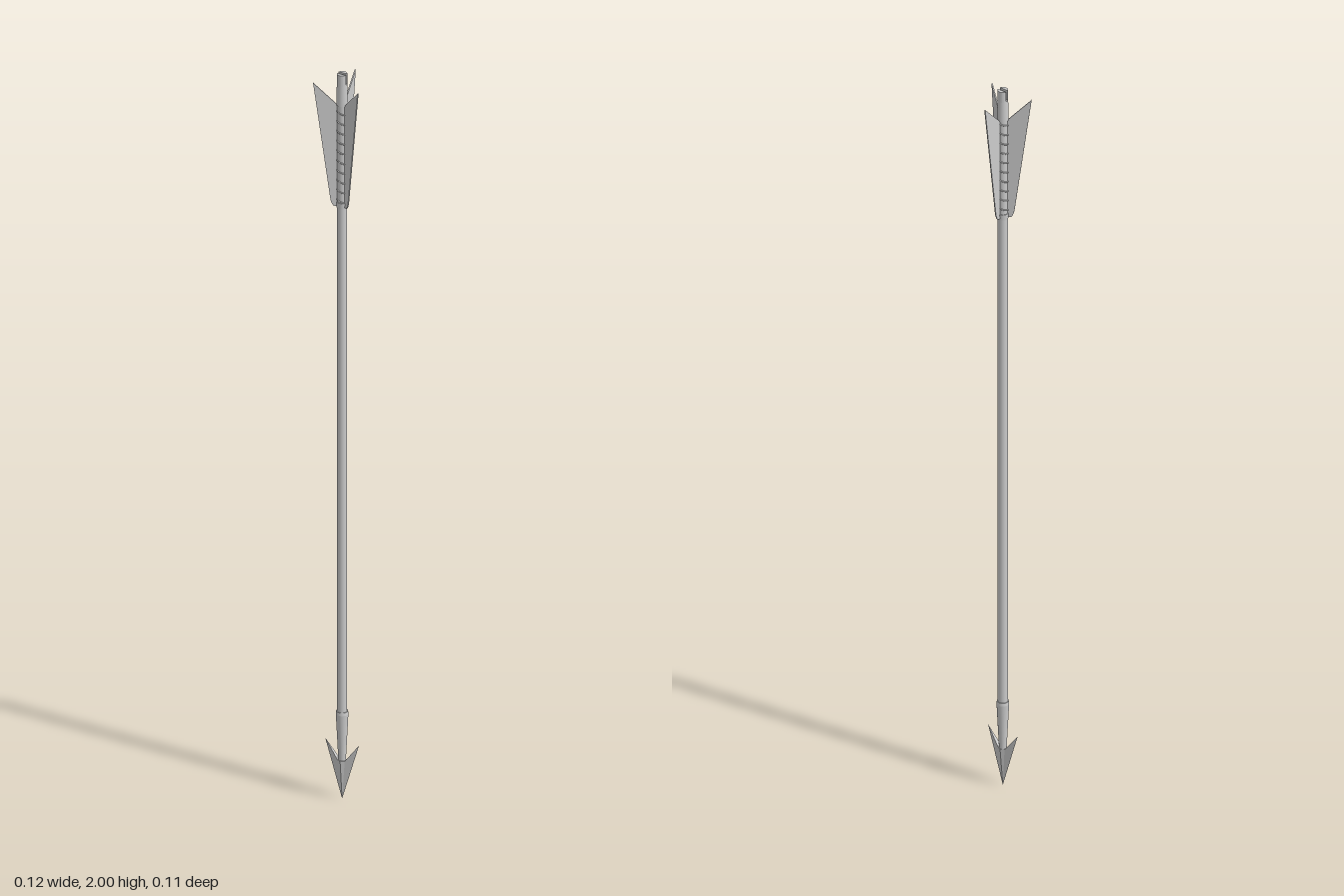
import * as THREE from 'three';

const grey = new THREE.MeshStandardMaterial({ color: 0xcccccc });
const flat = new THREE.MeshStandardMaterial({ color: 0xcccccc, flatShading: true, side: THREE.DoubleSide });

function add(parent, name, geometry, material = grey) {
  const mesh = new THREE.Mesh(geometry, material);
  mesh.name = name;
  parent.add(mesh);
  return mesh;
}

// Cylinder or cone frustum between two heights
function rod(parent, name, y0, y1, r0, r1) {
  const mesh = add(parent, name, new THREE.CylinderGeometry(r1, r0, y1 - y0, 20));
  mesh.position.y = (y0 + y1) / 2;
  return mesh;
}

// One barbed half of the arrowhead, with a diamond cross-section
function bladeHalf() {
  const tip = [0, 0, 0], barb = [0.046, 0.157, 0];
  const notchF = [0.01, 0.108, 0.006], notchB = [0.01, 0.108, -0.006];
  const ridgeF = [0, 0.108, 0.011], ridgeB = [0, 0.108, -0.011];
  const faces = [
    tip, barb, notchF, tip, notchF, ridgeF,
    tip, notchB, barb, tip, ridgeB, notchB,
    barb, notchB, notchF,
    notchF, notchB, ridgeB, notchF, ridgeB, ridgeF,
  ];
  const g = new THREE.BufferGeometry();
  g.setAttribute('position', new THREE.Float32BufferAttribute(faces.flat(), 3));
  g.computeVertexNormals();
  return g;
}

// Swept-back feather vane, running outward along +x
function vane() {
  const s = new THREE.Shape();
  s.moveTo(0.008, 1.635);
  s.lineTo(0.021, 1.637);
  s.quadraticCurveTo(0.028, 1.645, 0.03, 1.665);
  s.quadraticCurveTo(0.049, 1.81, 0.071, 1.977);
  s.lineTo(0.012, 1.915);
  s.lineTo(0.008, 1.915);
  const depth = 0.003;
  return new THREE.ExtrudeGeometry(s, { depth, bevelEnabled: false, curveSegments: 6 })
    .translate(0, 0, -depth / 2);
}

// Thread wound around the shaft
class Helix extends THREE.Curve {
  getPoint(t, target = new THREE.Vector3()) {
    const a = t * Math.PI * 2 * 10;
    return target.set(Math.cos(a) * 0.0125, 1.645 + t * 0.27, Math.sin(a) * 0.0125);
  }
}

export function createModel() {
  const arrow = new THREE.Group();
  arrow.name = 'arrow';
  arrow.position.z = 0.017;

  rod(arrow, 'shaft', 0.2, 1.93, 0.0125, 0.0125);

  // Arrowhead: socket and two barbed halves
  const head = new THREE.Group();
  head.name = 'arrowhead';
  arrow.add(head);
  rod(head, 'socket', 0.1, 0.235, 0.009, 0.0155);
  rod(head, 'socketRim', 0.235, 0.243, 0.0155, 0.0145);
  for (const turn of [0, Math.PI]) add(head, 'barbedBlade', bladeHalf(), flat).rotation.y = turn;

  // Fletching: three vanes and their binding
  for (const degrees of [90, -30, 210]) {
    add(arrow, 'vane', vane(), flat).rotation.y = THREE.MathUtils.degToRad(degrees);
  }
  add(arrow, 'binding', new THREE.TubeGeometry(new Helix(), 200, 0.002, 6));
  rod(arrow, 'bindingCollar', 1.632, 1.648, 0.0135, 0.0145);

  // Nock: solid base with a string slot between two prongs
  rod(arrow, 'nockBase', 1.915, 1.972, 0.0145, 0.013);
  const half = Math.asin(0.004 / 0.013);
  const prong = new THREE.Shape().absarc(0, 0, 0.013, half, Math.PI - half, false);
  const prongGeometry = new THREE.ExtrudeGeometry(prong, { depth: 0.03, bevelEnabled: false, curveSegments: 10 })
    .rotateX(-Math.PI / 2)
    .translate(0, 1.97, 0);
  for (const turn of [0, Math.PI]) add(arrow, 'nockProng', prongGeometry).rotation.y = turn;

  const model = new THREE.Group();
  model.add(arrow);
  return model;
}
